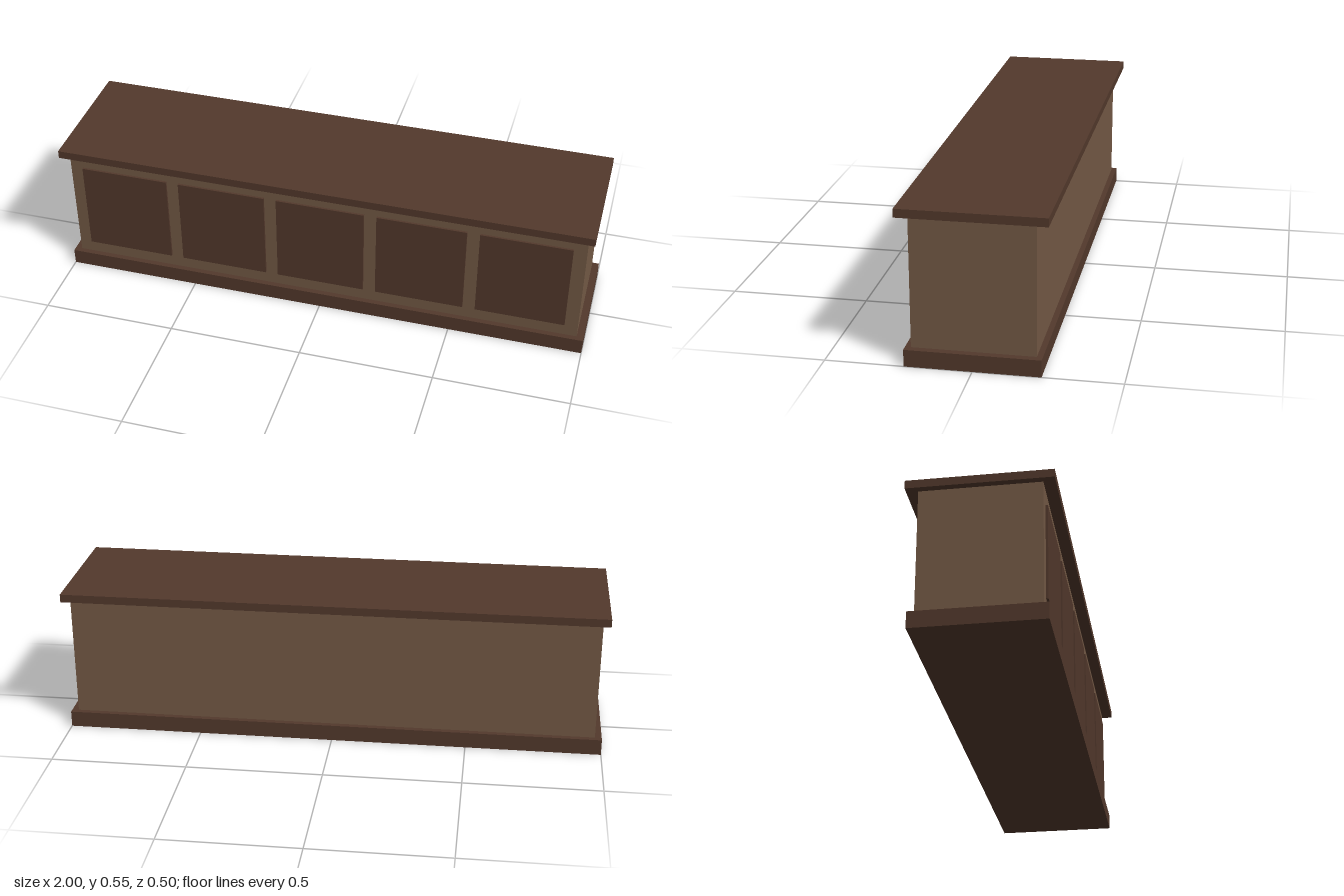
import * as THREE from 'three';

export function createModel() {
  const model = new THREE.Group();
  model.name = 'counter';

  const darkWood = new THREE.MeshStandardMaterial({ name: 'dark wood', color: 0x53392c });
  const lightWood = new THREE.MeshStandardMaterial({ name: 'light wood', color: 0x745a46 });

  // Box standing on height y
  function addBox(name, material, [w, h, d], [x, y, z]) {
    const mesh = new THREE.Mesh(new THREE.BoxGeometry(w, h, d), material);
    mesh.name = name;
    mesh.position.set(x, y + h / 2, z);
    model.add(mesh);
  }

  // Plinth, carcass and overhanging top
  addBox('plinth', darkWood, [2, 0.06, 0.46], [0, 0, 0]);
  addBox('body', lightWood, [1.95, 0.46, 0.42], [0, 0.06, 0]);
  addBox('countertop', darkWood, [2, 0.03, 0.502], [0, 0.52, 0]);

  // Five raised panels along the front
  for (let i = -2; i <= 2; i++) {
    addBox(`frontPanel${i + 3}`, darkWood, [0.333, 0.35, 0.008], [i * 0.38, 0.11, 0.214]);
  }

  return model;
}
